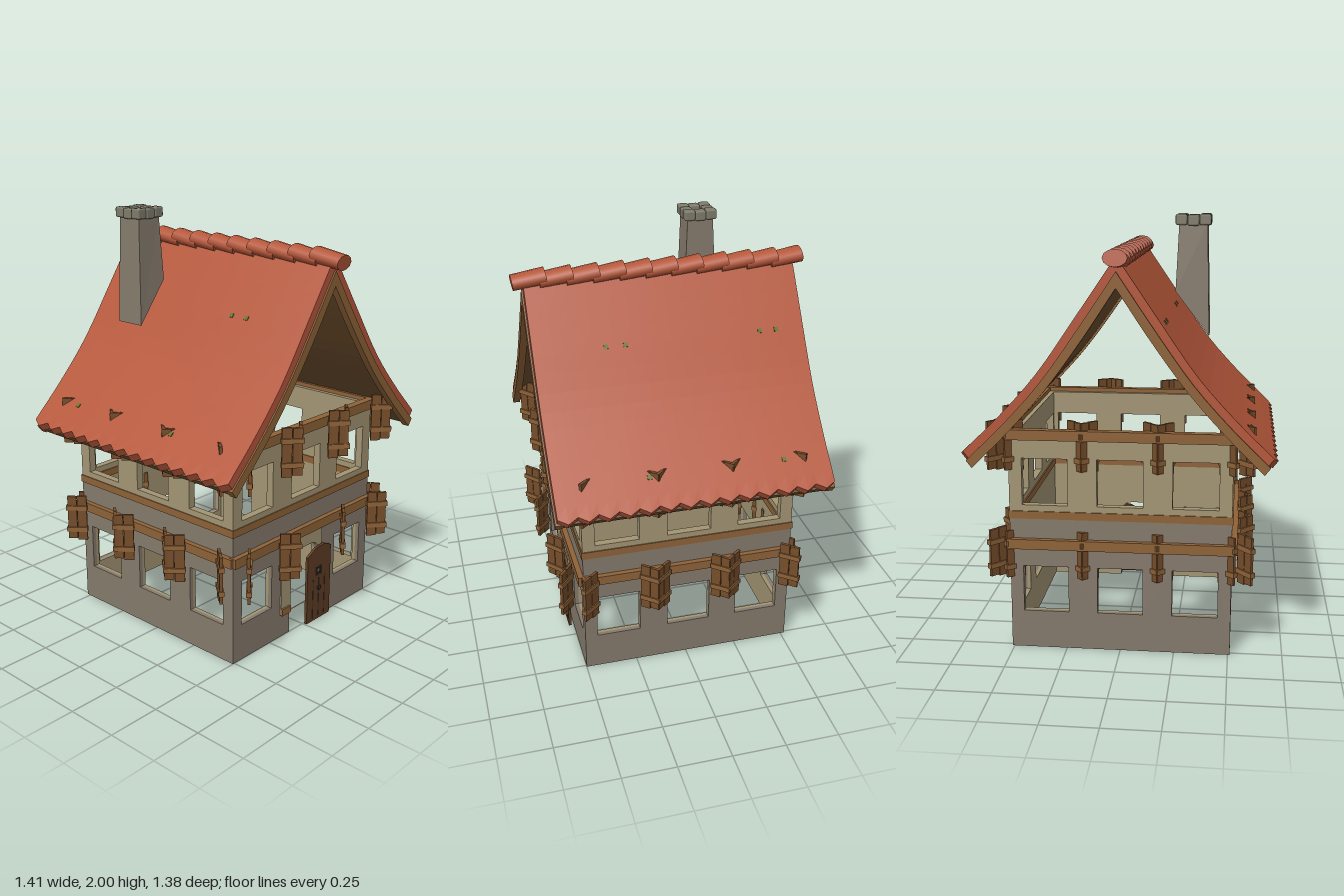
import * as THREE from 'three';
import { RoundedBoxGeometry } from 'three/addons/geometries/RoundedBoxGeometry.js';

const mat = (name, color, extra = {}) => new THREE.MeshStandardMaterial({ name, color, ...extra });

export function createModel() {
  const stone = mat('grey stone', 0x857a6c, { side: THREE.DoubleSide });
  const plaster = mat('beige plaster', 0xa39574);
  const wood = mat('beam wood', 0x8e6238);
  const shutterWood = mat('shutter wood', 0x754d2a);
  const doorWood = mat('door wood', 0x5e3c22);
  const underside = mat('roof boards', 0x6b4c2c);
  const tile = mat('roof tile', 0xb5573a);
  const capStone = mat('chimney stone', 0x7f7b6b);
  const iron = mat('iron', 0x35322e);
  const moss = mat('moss', 0x66702a);

  const model = new THREE.Group();
  const add = (parent, name, geo, material, x = 0, y = 0, z = 0) => {
    const m = new THREE.Mesh(geo, material);
    m.name = name;
    m.position.set(x, y, z);
    parent.add(m);
    return m;
  };
  const box = (parent, name, material, w, h, d, x, y, z) =>
    add(parent, name, new THREE.BoxGeometry(w, h, d), material, x, y, z);
  const rect = (C, x0, y0, x1, y1) => {
    const s = new C();
    s.moveTo(x0, y0); s.lineTo(x1, y0); s.lineTo(x1, y1); s.lineTo(x0, y1); s.closePath();
    return s;
  };
  const extrude = (shape, depth) =>
    new THREE.ExtrudeGeometry(shape, { depth, bevelEnabled: false, curveSegments: 8 });

  // Doorway outline: straight jambs and a shallow arch
  const doorway = (y0) => {
    const p = new THREE.Path();
    p.moveTo(-0.105, y0); p.lineTo(0.105, y0); p.lineTo(0.105, 0.36);
    p.quadraticCurveTo(0.1, 0.42, 0.04, 0.42);
    p.lineTo(-0.04, 0.42);
    p.quadraticCurveTo(-0.1, 0.42, -0.105, 0.36);
    p.closePath();
    return p;
  };

  // One wall storey: outer skin plus plaster lining, with window holes
  const WIN = 0.105;
  function storey(parent, name, half, y0, y1, sill, head, windows, skin, door) {
    const layer = (hw, z, depth, material, label) => {
      let s;
      if (door) {
        s = new THREE.Shape();
        s.moveTo(-hw, y0); s.lineTo(-0.105, y0); s.lineTo(-0.105, 0.36);
        s.quadraticCurveTo(-0.1, 0.42, -0.04, 0.42);
        s.lineTo(0.04, 0.42);
        s.quadraticCurveTo(0.1, 0.42, 0.105, 0.36);
        s.lineTo(0.105, y0); s.lineTo(hw, y0); s.lineTo(hw, y1); s.lineTo(-hw, y1);
        s.closePath();
      } else s = rect(THREE.Shape, -hw, y0, hw, y1);
      for (const c of windows) s.holes.push(rect(THREE.Path, c - WIN, sill, c + WIN, head));
      add(parent, label, extrude(s, depth), material, 0, 0, z);
    };
    layer(half, 0.49, 0.02, skin, name);
    layer(0.49, 0.473, 0.017, plaster, name + 'Lining');
  }

  // Shutter leaf: two boards and two crossbars, swung out from its hinge
  function shutter(parent, x, y, z, s) {
    const g = new THREE.Group();
    g.name = 'shutter';
    g.position.set(x, y, z);
    g.rotation.y = -s * 0.7;
    box(g, 'shutterBoard', shutterWood, 0.047, 0.235, 0.014, s * 0.025, 0, 0);
    box(g, 'shutterBoard', shutterWood, 0.045, 0.225, 0.014, s * 0.074, 0.003, 0);
    for (const dy of [-0.06, 0.055])
      box(g, 'shutterBar', wood, 0.104, 0.024, 0.026, s * 0.051, dy, 0);
    parent.add(g);
  }

  // Four facades
  const house = new THREE.Group();
  house.name = 'house';
  house.position.z = -0.01;
  model.add(house);
  ['front', 'right', 'back', 'left'].forEach((side, i) => {
    const f = new THREE.Group();
    f.name = side + 'Facade';
    f.rotation.y = i * Math.PI / 2;
    house.add(f);
    const half = i % 2 ? 0.49 : 0.51;
    const all = [-0.345, 0, 0.345], lower = i === 0 ? [-0.345, 0.345] : all;
    storey(f, 'groundWall', half, 0, 0.64, 0.18, 0.4, lower, stone, i === 0);
    storey(f, 'upperWall', half, 0.655, 1.03, 0.695, 0.915, all, plaster, false);
    box(f, 'floorBeam', wood, i % 2 ? 0.94 : 1.03, 0.036, 0.048, 0, 0.648, 0.491);
    const hinge = [0.555, 0.54, 0.465, 0.54][i];
    const shift = i % 2 ? 0 : 0.003;
    for (const y of [0.512, 1.028])
      box(f, 'lintelBeam', wood, 1.04 + shift, 0.044 + shift, 0.04, 0, y, 0.515);
    for (const [y, windows] of [[0.457, lower], [0.97, all]])
      for (const c of windows)
        for (const s of [-1, 1]) shutter(f, c + s * WIN, y, hinge, s);
  });

  // Plaster door surround and the loose step beside it
  const surround = rect(THREE.Shape, -0.175, 0.12, 0.13, 0.495);
  surround.holes.push(doorway(0.1201));
  add(model, 'doorSurround', extrude(surround, 0.008), plaster, 0, 0, 0.499);
  box(model, 'doorBlock', wood, 0.062, 0.035, 0.02, -0.144, 0.133, 0.506);

  // Door leaf standing open over the right jamb
  const door = new THREE.Group();
  door.name = 'door';
  door.position.set(0, 0, 0.512);
  const leaf = new THREE.Shape();
  leaf.moveTo(0, 0.005); leaf.lineTo(0.18, 0.005); leaf.lineTo(0.18, 0.375);
  leaf.lineTo(0.13, 0.398); leaf.lineTo(0.06, 0.392); leaf.lineTo(0, 0.36);
  leaf.closePath();
  leaf.holes.push(rect(THREE.Path, 0.065, 0.245, 0.11, 0.29));
  add(door, 'doorLeaf', extrude(leaf, 0.014), doorWood);
  for (const x of [0.045, 0.09, 0.135])
    box(door, 'doorSeam', iron, 0.003, 0.21, 0.003, x, 0.125, 0.014);
  for (const t of [0.255, 0.28]) {
    box(door, 'windowBar', iron, 0.045, 0.004, 0.006, 0.0875, t, 0.012);
    box(door, 'windowBar', iron, 0.004, 0.045, 0.006, t - 0.18, 0.2675, 0.012);
  }
  add(door, 'doorKnocker', new THREE.TorusGeometry(0.012, 0.003, 6, 12), iron, 0.09, 0.175, 0.017);
  model.add(door);

  // Roof profile, from eave to ridge; f = 0 outer face, f = 1 inner face
  const curve = (pts) => new THREE.CatmullRomCurve3(pts.map(([x, y]) => new THREE.Vector3(x, y, 0)));
  const outer = curve([[0.695, 0.965], [0.53, 1.125], [0.355, 1.32], [0.18, 1.57], [0, 1.835]]);
  const inner = curve([[0.645, 0.9], [0.485, 1.06], [0.32, 1.245], [0.15, 1.475], [0, 1.7]]);
  const N = 14;
  const line = (f) => {
    const half = [];
    for (let i = 0; i <= N; i++) half.push(outer.getPoint(i / N).lerp(inner.getPoint(i / N), f));
    return [...half, ...half.slice(0, -1).reverse().map((p) => new THREE.Vector3(-p.x, p.y, 0))];
  };
  const roofLayer = (f0, f1, z0, z1, steps) => {
    const pts = [...line(f0), ...line(f1).reverse()].map((p) => new THREE.Vector2(p.x, p.y));
    const g = new THREE.ExtrudeGeometry(new THREE.Shape(pts), { depth: z1 - z0, steps, bevelEnabled: false });
    return g.translate(0, 0, z0);
  };
  const tiles = roofLayer(0, 0.5, -0.645, 0.632, 28);
  const tp = tiles.attributes.position;
  // Pointed tile ends along both eaves
  for (let i = 0; i < tp.count; i++) {
    const x = tp.getX(i);
    if (Math.abs(x) < 0.66) continue;
    const k = Math.round((tp.getZ(i) + 0.645) / (1.277 / 28)) % 2;
    tp.setX(i, x + Math.sign(x) * (k ? 0.01 : -0.01));
    tp.setY(i, tp.getY(i) + (k ? -0.01 : 0.008));
  }
  tiles.computeVertexNormals();
  add(model, 'roofTiles', tiles, tile);
  add(model, 'roofBoards', roofLayer(0.5, 0.85, -0.63, 0.615, 1), underside);
  for (const [z0, z1] of [[0.605, 0.64], [-0.655, -0.62]])
    add(model, 'bargeBoard', roofLayer(0.48, 1, z0, z1, 1), wood);

  // Overlapping ridge caps
  for (let i = 0; i < 11; i++) {
    const g = new THREE.CylinderGeometry(0.054, 0.05, 0.155, 12);
    g.rotateX(-Math.PI / 2);
    g.scale(1, 0.7, 1);
    const cap = add(model, 'ridgeCap', g, tile, 0, 1.818, 0.605 - i * 0.1215);
    cap.rotation.x = 0.14;
  }

  // Moss tufts lying on the slopes
  const mossSpots = [[0.72, 0.3], [0.72, 0.21], [0.72, -0.43], [0.72, -0.51], [0.16, -0.43], [0.16, 0.2]];
  for (const s of [-1, 1])
    for (const [t, z] of mossSpots) {
      const p = outer.getPoint(t), d = outer.getTangent(t);
      const tuft = box(model, 'moss', moss, 0.02, 0.008, 0.02, s * p.x, p.y, z);
      tuft.rotation.z = s * Math.atan2(d.y, d.x) + (s > 0 ? Math.PI : 0);
    }

  // Hollow chimney, tapered, its foot cut along the slope
  const chimney = new THREE.Group();
  chimney.name = 'chimney';
  chimney.position.set(-0.31, 0, -0.27);
  model.add(chimney);
  let shaft = new THREE.CylinderGeometry(0.089, 0.108, 1, 4, 1, true).rotateY(Math.PI / 4);
  const sp = shaft.attributes.position;
  for (let i = 0; i < sp.count; i++)
    sp.setY(i, sp.getY(i) > 0 ? 1.96 : sp.getX(i) < 0 ? 1.46 : 1.66);
  shaft = shaft.toNonIndexed();
  shaft.computeVertexNormals();
  add(chimney, 'chimneyShaft', shaft, stone);
  for (let i = -1; i <= 1; i++)
    for (let j = -1; j <= 1; j++)
      if (i || j)
        add(chimney, 'chimneyCapStone', new RoundedBoxGeometry(0.052, 0.048, 0.052, 1, 0.008),
          capStone, i * 0.053, 1.976 - ((i + j) & 1) * 0.003, j * 0.053);

  return model;
}
